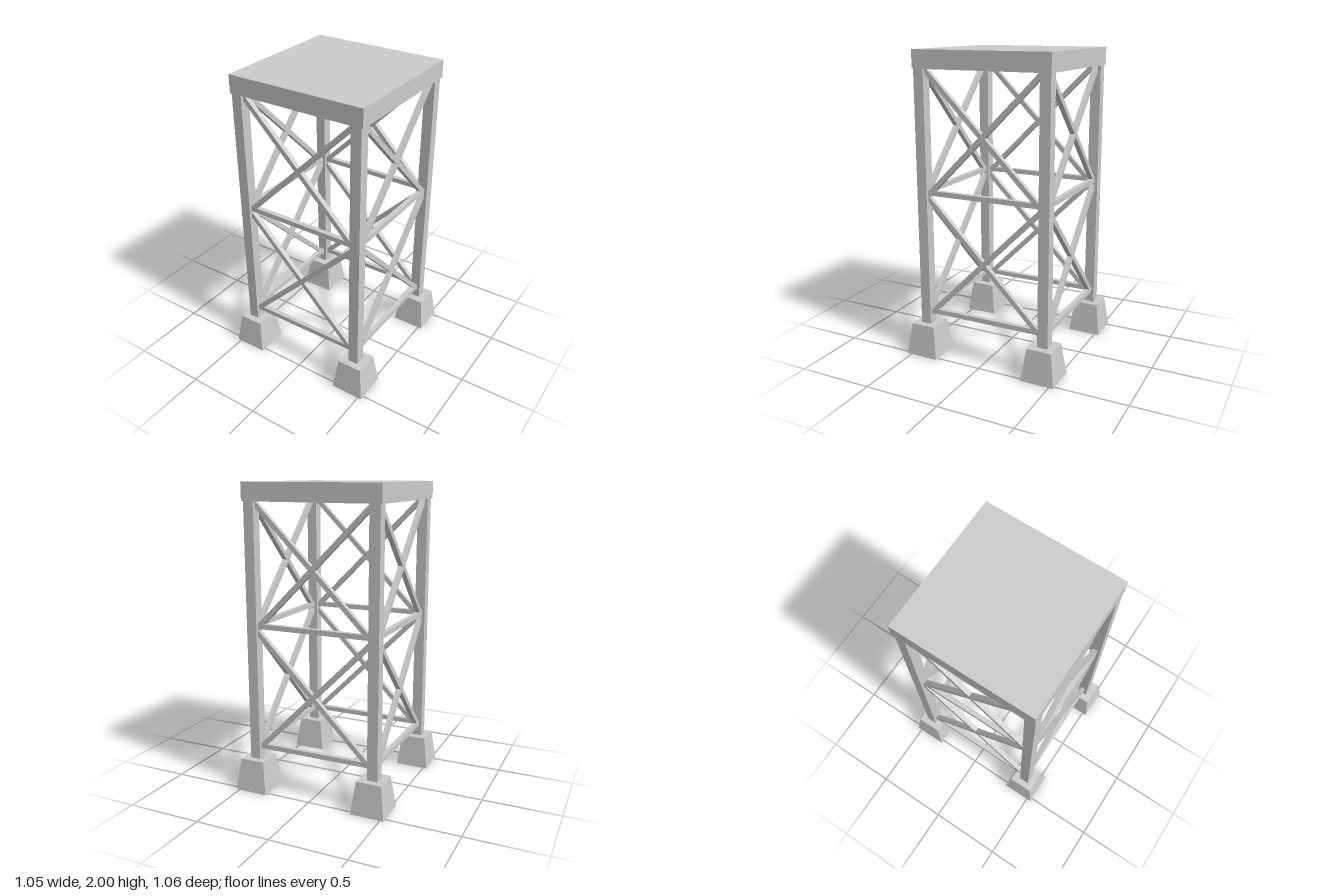
import * as THREE from 'three';

const material = new THREE.MeshStandardMaterial({ color: 0xcccccc, flatShading: true });

// Leg centres and bar sizes
const CX = 0.416, CZ = 0.423, MID_X = -0.003;
const POST = 0.069, BAR = 0.032;

function addBox(parent, name, w, h, d, x, y, z) {
  const mesh = new THREE.Mesh(new THREE.BoxGeometry(w, h, d), material);
  mesh.name = name;
  mesh.position.set(x, y, z);
  parent.add(mesh);
  return mesh;
}

// Tapered square block: shrink the top corners of a box
function footingGeometry(bottom, top, height) {
  const g = new THREE.BoxGeometry(bottom, height, bottom);
  const p = g.attributes.position;
  for (let i = 0; i < p.count; i++) {
    if (p.getY(i) > 0) p.setXYZ(i, p.getX(i) * top / bottom, p.getY(i), p.getZ(i) * top / bottom);
  }
  g.computeVertexNormals();
  return g;
}

// One braced side, drawn in its own xy plane: two rails and two crosses
function makeSide(name, span) {
  const side = new THREE.Group();
  side.name = name;
  for (const y of [0.299, 1.106]) addBox(side, 'rail', span, BAR, BAR, 0, y, 0);
  const rise = span * 1.005;
  for (const y of [0.677, 1.483]) {
    for (const s of [-1, 1]) {
      const brace = addBox(side, 'diagonalBrace', Math.hypot(span, rise), BAR, BAR, 0, y, 0);
      brace.rotation.z = s * Math.atan2(rise, span);
    }
  }
  return side;
}

export function createModel() {
  const model = new THREE.Group();
  model.name = 'tower';

  // Top slab
  addBox(model, 'platform', 0.922, 0.116, 0.924, MID_X, 1.942, -0.002);

  // Legs standing on tapered footings
  const footGeo = footingGeometry(0.222, 0.165, 0.212);
  for (const sx of [-1, 1]) {
    for (const sz of [-1, 1]) {
      const x = MID_X + sx * CX, z = sz * CZ;
      addBox(model, 'post', POST, 1.69, POST, x, 1.045, z);
      const footing = new THREE.Mesh(footGeo, material);
      footing.name = 'footing';
      footing.position.set(sx * 0.413, 0.106, sz * 0.419);
      model.add(footing);
    }
  }

  // Bracing between the legs
  const spanX = 2 * CX - POST + 0.01, spanZ = 2 * CZ - POST + 0.01;
  for (const s of [-1, 1]) {
    const face = makeSide(s > 0 ? 'frontBracing' : 'backBracing', spanX);
    face.position.set(MID_X, 0, s * CZ);
    const flank = makeSide(s > 0 ? 'leftBracing' : 'rightBracing', spanZ);
    flank.rotation.y = Math.PI / 2;
    flank.position.set(MID_X + s * CX, 0, 0);
    model.add(face, flank);
  }
  return model;
}
